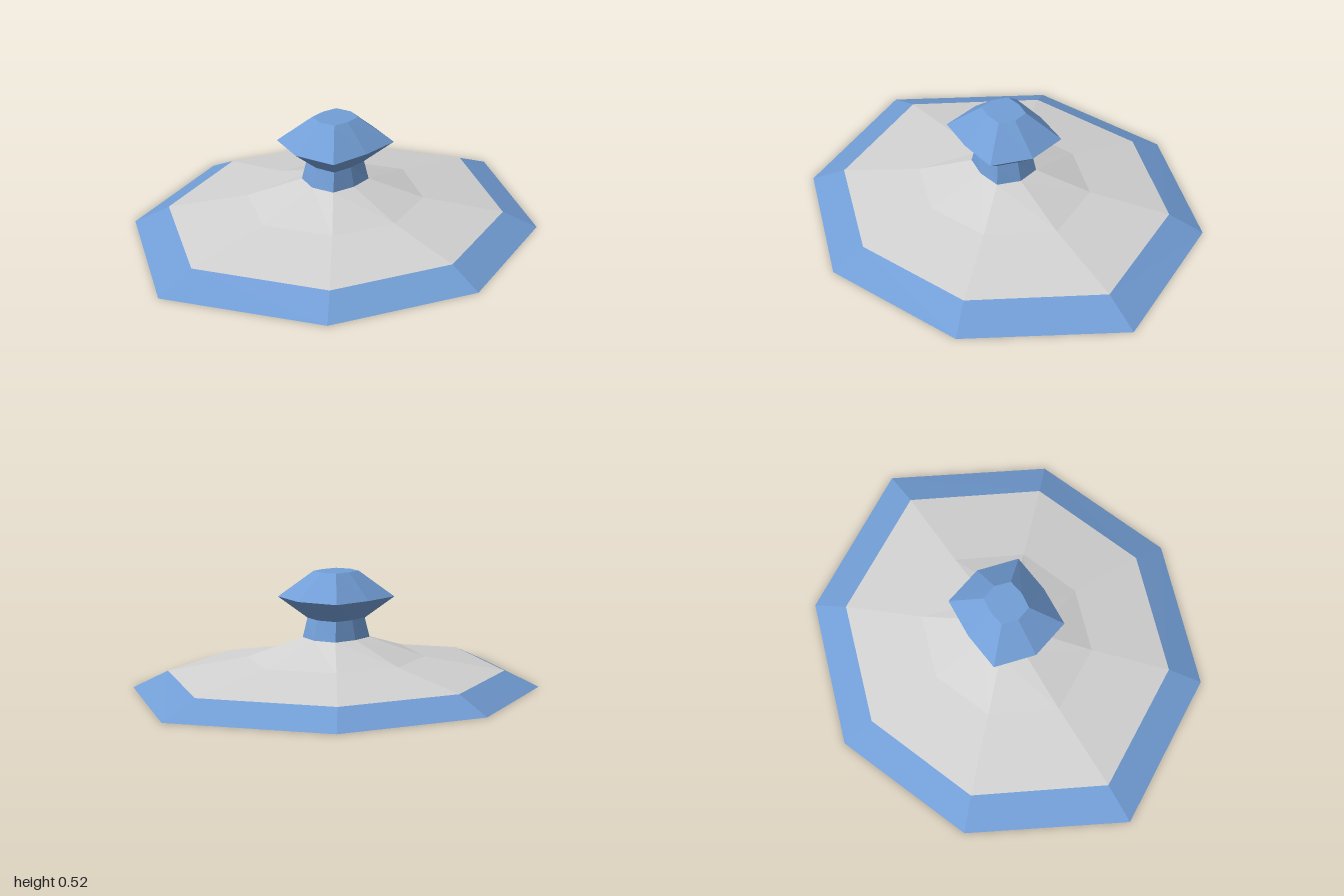
import * as THREE from 'three';

// Each ring: height, half width in x, half depth in z, diagonal corner (x, z)
const RIM_BOTTOM = [0, 0.87, 1, 0.64, 0.642];
const RIM_TOP = [0.075, 0.72, 0.823, 0.533, 0.53];
const SHOULDER = [0.14, 0.375, 0.428, 0.278, 0.278];
const NECK_BOTTOM = [0.228, 0.12, 0.14, 0.102, 0.108];
const NECK_TOP = [0.315, 0.1, 0.115, 0.09, 0.09];
const KNOB_WIDE = [0.41, 0.198, 0.235, 0.183, 0.182];
const KNOB_TOP = [0.525, 0.08, 0.093, 0.07, 0.071];

// Eight corners of a ring, going round from +x through +z
function corners([y, w, d, cx, cz]) {
  return [[w, 0], [cx, cz], [0, d], [-cx, cz], [-w, 0], [-cx, -cz], [0, -d], [cx, -cz]]
    .map(([x, z]) => [x, y, z]);
}

function meshFrom(name, positions, material) {
  const geometry = new THREE.BufferGeometry();
  geometry.setAttribute('position', new THREE.Float32BufferAttribute(positions.flat(), 3));
  geometry.computeVertexNormals(); // unshared corners give flat facets
  const mesh = new THREE.Mesh(geometry, material);
  mesh.name = name;
  return mesh;
}

// Faceted wall through a stack of rings
function loft(name, rings, material) {
  const loops = rings.map(corners);
  const p = [];
  for (let r = 0; r < loops.length - 1; r++) {
    for (let i = 0; i < 8; i++) {
      const j = (i + 1) % 8;
      const [a, b, c, d] = [loops[r][i], loops[r][j], loops[r + 1][j], loops[r + 1][i]];
      p.push(a, d, c, a, c, b);
    }
  }
  return meshFrom(name, p, material);
}

// Flat lid closing a ring, facing up or down
function cap(name, ring, material, up) {
  const loop = corners(ring);
  const p = [];
  for (let i = 0; i < 8; i++) {
    const a = loop[i], b = loop[(i + 1) % 8], centre = [0, ring[0], 0];
    p.push(centre, ...(up ? [b, a] : [a, b]));
  }
  return meshFrom(name, p, material);
}

export function createModel() {
  const blue = new THREE.MeshStandardMaterial({ color: 0x729ed6 });
  blue.name = 'blue';
  const grey = new THREE.MeshStandardMaterial({ color: 0xd2d2d2 });
  grey.name = 'light grey';
  const black = new THREE.MeshStandardMaterial({ color: 0x111111 });
  black.name = 'black';

  const model = new THREE.Group();
  model.name = 'knobbedDisc';
  model.add(
    cap('underside', RIM_BOTTOM, black, false),
    loft('rim', [RIM_BOTTOM, RIM_TOP], blue),
    loft('dome', [RIM_TOP, SHOULDER, NECK_BOTTOM], grey),
    loft('neck', [NECK_BOTTOM, NECK_TOP], blue),
    loft('knob', [NECK_TOP, KNOB_WIDE, KNOB_TOP], blue),
    cap('knobTop', KNOB_TOP, blue, true)
  );
  return model;
}
